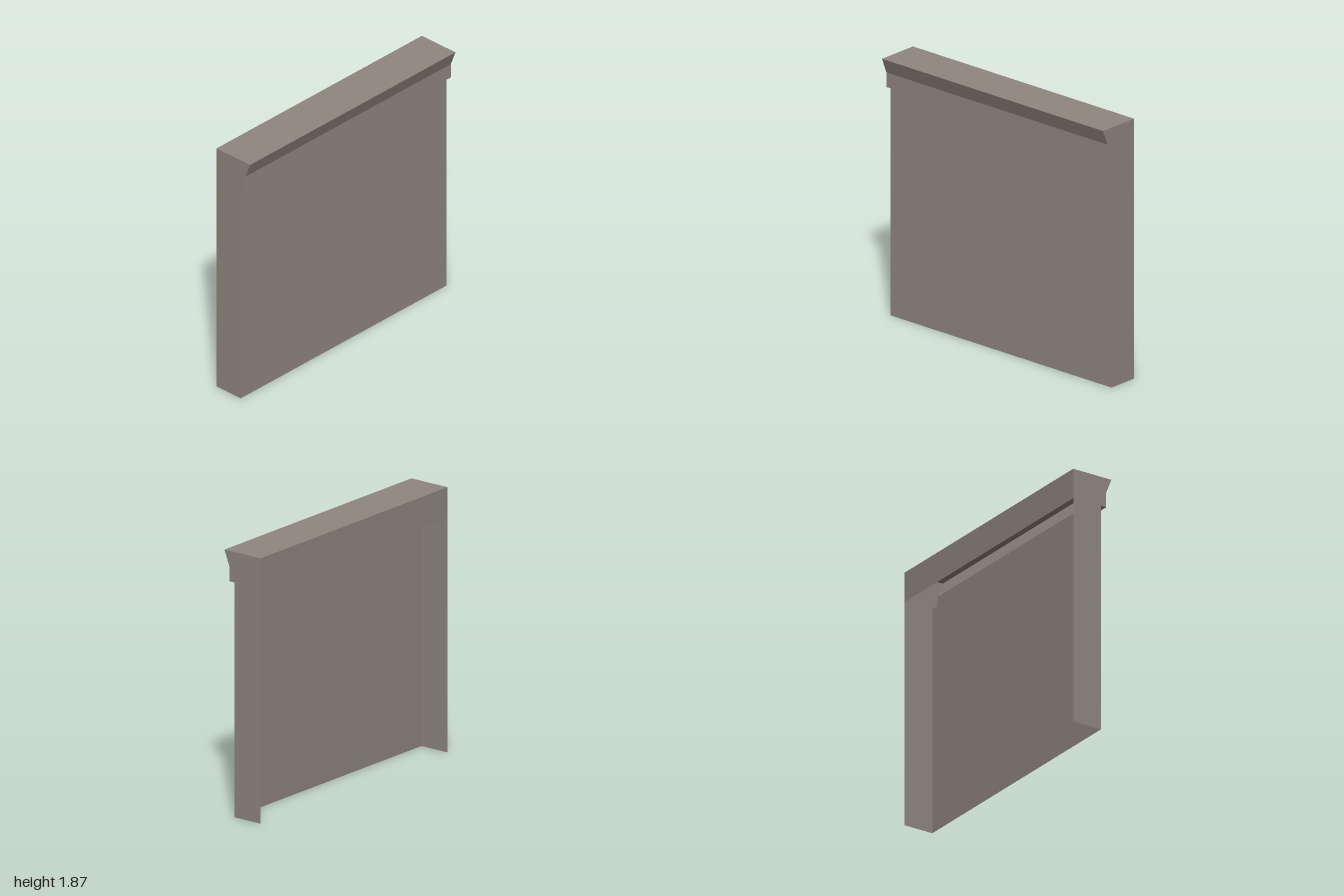
import * as THREE from 'three';

// Side outline as [z, y], running up the front, over the top and down the back
const outline = [
  [0.07, 0], [0.07, 1.655], [0.112, 1.655], [0.112, 1.76],
  [0.155, 1.87], [-0.155, 1.87], [-0.155, 1.652],
];
const HALF_WIDTH = 1;

// Flat strip across the full width between two outline points
function strip([z0, y0], [z1, y1]) {
  const w = HALF_WIDTH;
  const geometry = new THREE.BufferGeometry();
  geometry.setAttribute('position', new THREE.Float32BufferAttribute([
    -w, y0, z0, w, y0, z0, w, y1, z1, -w, y1, z1,
  ], 3));
  geometry.setIndex([0, 1, 2, 0, 2, 3]);
  geometry.computeVertexNormals();
  return geometry;
}

// End panel in the shape of the outline, facing outwards on the given side
function endGeometry(side) {
  const points = [...outline.slice(0, 6), [-0.155, 0]]
    .map(([z, y]) => new THREE.Vector2(-side * z, y));
  return new THREE.ShapeGeometry(new THREE.Shape(points))
    .rotateY(side * Math.PI / 2)
    .translate(side * HALF_WIDTH, 0, 0);
}

export function createModel() {
  const group = new THREE.Group();
  group.name = 'wallPanel';
  const stone = new THREE.MeshStandardMaterial({ color: 0x8f867f, side: THREE.DoubleSide });
  stone.name = 'warm grey stone';

  const add = (name, geometry) => {
    const mesh = new THREE.Mesh(geometry, stone);
    mesh.name = name;
    group.add(mesh);
  };

  // Hollow shell: wall, cornice, top and the short band at the back
  const names = ['frontWall', 'corniceSoffit', 'corniceFace', 'corniceSlope', 'top', 'backBand'];
  names.forEach((name, i) => add(name, strip(outline[i], outline[i + 1])));

  // Matching ends; the back and bottom stay open
  add('leftEnd', endGeometry(1));
  add('rightEnd', endGeometry(-1));

  return group;
}
